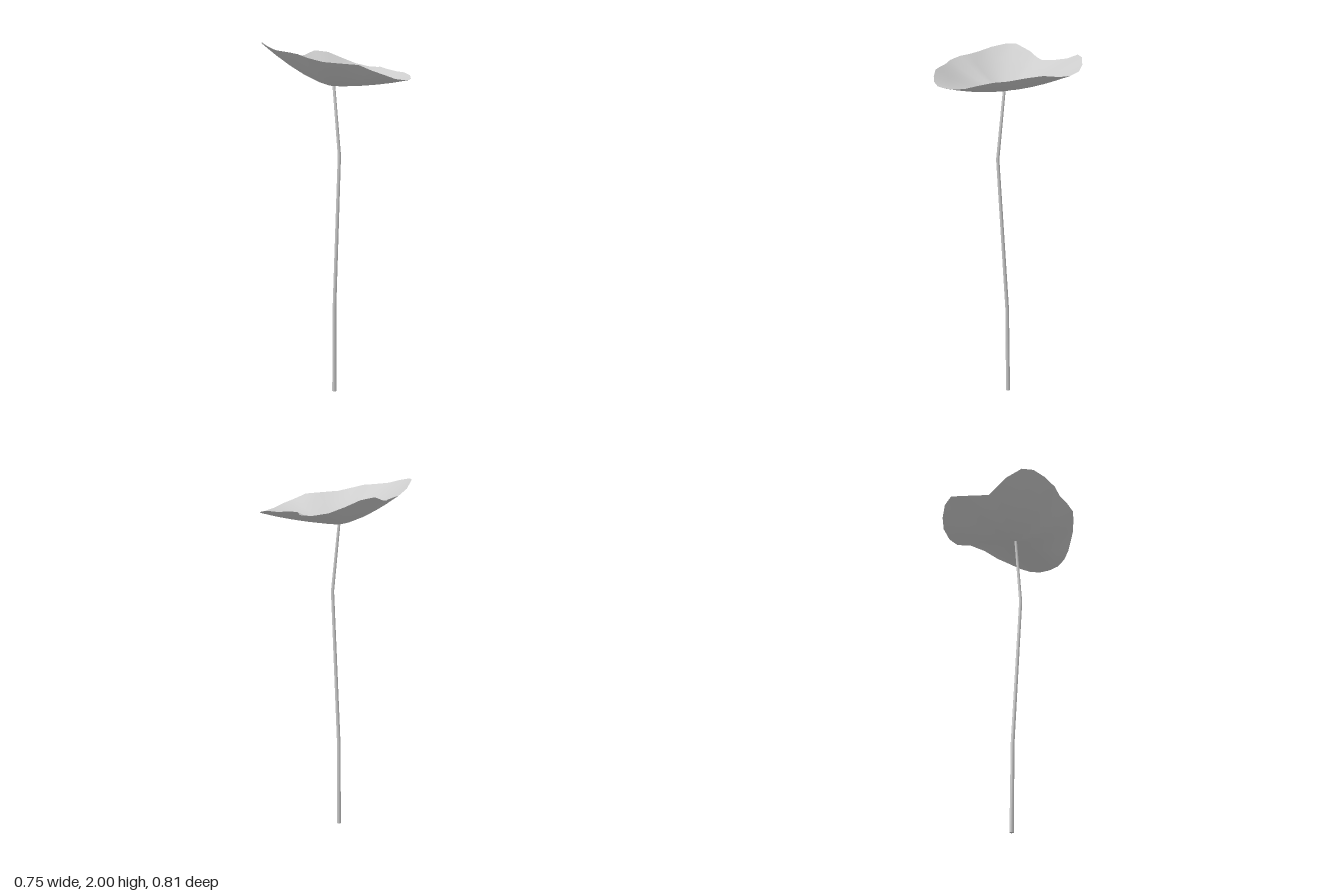
import * as THREE from 'three';

const material = new THREE.MeshStandardMaterial({ color: 0xcccccc, side: THREE.DoubleSide });

// Wavy leaf outline [x, y, z], starting at the back notch and passing the left side
const RIM = [
  [-0.03, 1.915, -0.36], [0.05, 1.92, -0.39], [0.12, 1.93, -0.405], [0.2, 1.955, -0.4],
  [0.27, 1.945, -0.355], [0.325, 1.91, -0.29], [0.36, 1.88, -0.22], [0.375, 1.862, -0.13],
  [0.365, 1.86, -0.055], [0.3, 1.865, 0], [0.25, 1.855, 0.08], [0.215, 1.842, 0.18],
  [0.18, 1.838, 0.26], [0.14, 1.825, 0.325], [0.085, 1.808, 0.37], [0.03, 1.803, 0.395],
  [-0.03, 1.805, 0.403], [-0.095, 1.812, 0.395], [-0.15, 1.832, 0.37], [-0.2, 1.855, 0.325],
  [-0.245, 1.885, 0.27], [-0.295, 1.892, 0.195], [-0.34, 1.9, 0.11], [-0.375, 1.92, 0.035],
  [-0.37, 1.94, -0.04], [-0.36, 1.948, -0.105], [-0.37, 1.96, -0.195], [-0.35, 1.982, -0.275],
  [-0.315, 1.998, -0.35], [-0.26, 2.0, -0.39], [-0.165, 1.96, -0.405], [-0.1, 1.93, -0.39],
];
const CENTRE = [-0.042, 1.762, -0.065];

// Dished leaf: rings shrink from the rim to the centre and sink along a curve
function leaf() {
  const rings = [0.06, 0.2, 0.4, 0.6, 0.8, 1];
  const n = RIM.length;
  const pos = [...CENTRE];
  const index = [];
  rings.forEach((t, r) => {
    RIM.forEach(([x, y, z], i) => {
      const dx = x - CENTRE[0], dz = z - CENTRE[2];
      const power = 1.45 + 0.7 * Math.max(0, dz / Math.hypot(dx, dz));
      pos.push(CENTRE[0] + dx * t, CENTRE[1] + (y - CENTRE[1]) * t ** power, CENTRE[2] + dz * t);
      const j = (i + 1) % n;
      const a = 1 + r * n + i, b = 1 + r * n + j;
      if (r === 0) index.push(0, b, a);
      else index.push(a - n, b - n, b, a - n, b, a);
    });
  });
  const geometry = new THREE.BufferGeometry();
  geometry.setAttribute('position', new THREE.Float32BufferAttribute(pos, 3));
  geometry.setIndex(index);
  geometry.computeVertexNormals();
  return geometry;
}

// Bent stalk: a tapered cylinder whose rings are moved onto the joints [x, y, z]
function stalk() {
  const joints = [[-0.042, 1.768, -0.06], [-0.05, 1.38, -0.015], [-0.028, 0.5, -0.07], [-0.025, 0, -0.075]];
  const geometry = new THREE.CylinderGeometry(0.008, 0.012, 3, 8, 3);
  const p = geometry.attributes.position;
  for (let i = 0; i < p.count; i++) {
    const [x, y, z] = joints[Math.round(1.5 - p.getY(i))];
    p.setXYZ(i, p.getX(i) + x, y, p.getZ(i) + z);
  }
  geometry.computeVertexNormals();
  return geometry;
}

export function createModel() {
  const group = new THREE.Group();
  group.name = 'lotusLeaf';
  for (const [name, geometry] of [['leaf', leaf()], ['stalk', stalk()]]) {
    const mesh = new THREE.Mesh(geometry, material);
    mesh.name = name;
    group.add(mesh);
  }
  return group;
}
